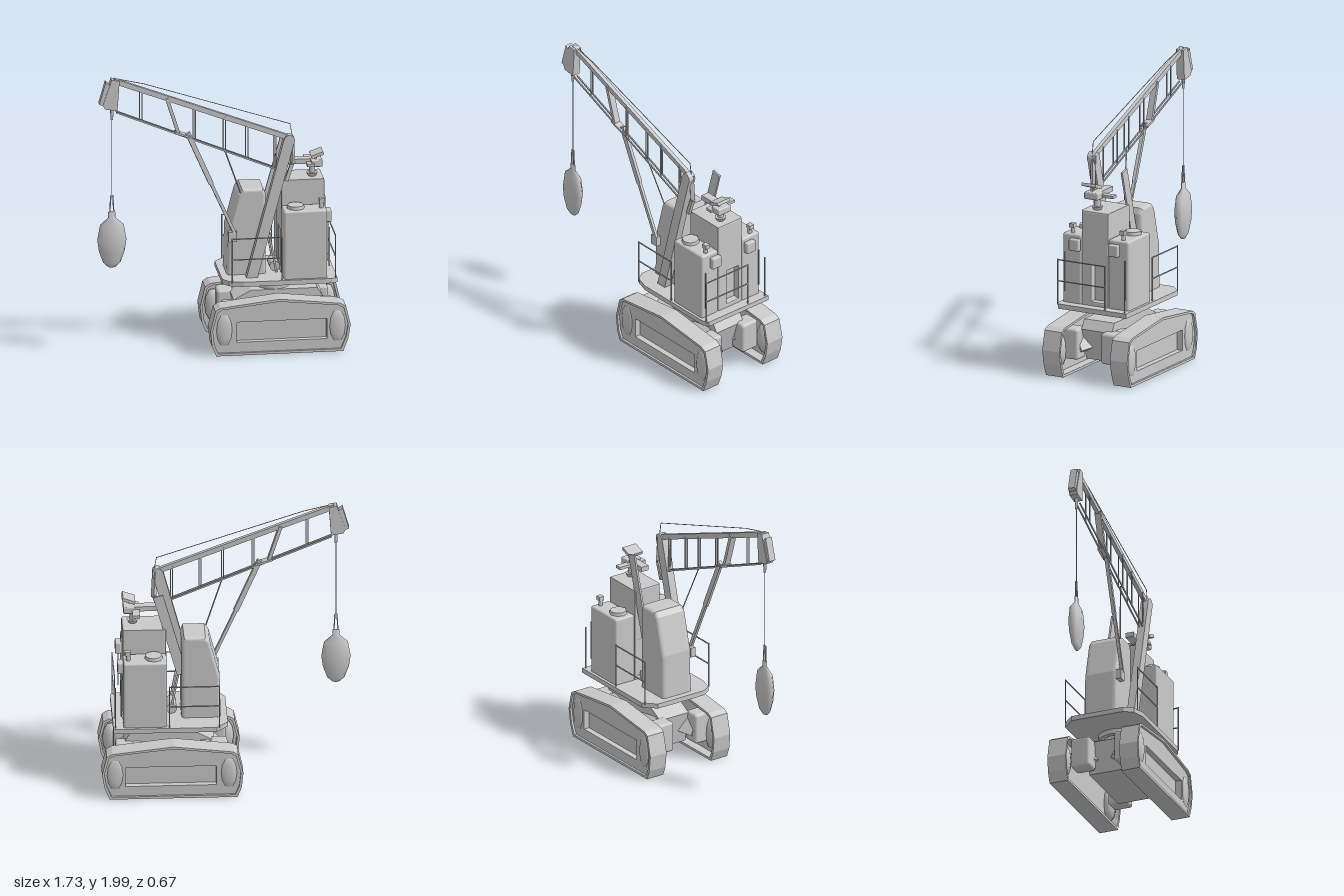
import * as THREE from 'three';
import { RoundedBoxGeometry } from 'three/addons/geometries/RoundedBoxGeometry.js';

const grey = new THREE.MeshStandardMaterial({ color: 0xcacaca });
grey.name = 'grey';
const V = (x, y, z) => new THREE.Vector3(x, y, z);

export function createModel() {
  const model = new THREE.Group();
  const add = (name, geometry, x = 0, y = 0, z = 0, parent = model) => {
    const mesh = new THREE.Mesh(geometry, grey);
    mesh.name = name;
    mesh.position.set(x, y, z);
    parent.add(mesh);
    return mesh;
  };
  // box given by its limits, optionally rounded
  const box = (name, x0, x1, y0, y1, z0, z1, r = 0) => {
    const s = [x1 - x0, y1 - y0, z1 - z0];
    const g = r ? new RoundedBoxGeometry(...s, 3, r) : new THREE.BoxGeometry(...s);
    return add(name, g, (x0 + x1) / 2, (y0 + y1) / 2, (z0 + z1) / 2);
  };
  // square bar between two points: w across in the xy plane, d deep
  const bar = (name, a, b, w, d = w) => {
    const m = add(name, new THREE.BoxGeometry(w, a.distanceTo(b), d));
    m.position.copy(a).lerp(b, 0.5);
    m.quaternion.setFromUnitVectors(V(0, 1, 0), b.clone().sub(a).normalize());
    return m;
  };
  const drum = (name, x, z, y0, y1, r0, r1 = r0, n = 24) =>
    add(name, new THREE.CylinderGeometry(r1, r0, y1 - y0, n), x, (y0 + y1) / 2, z);
  const shape = pts => new THREE.Shape(pts.map(p => new THREE.Vector2(...p)));
  const plate = (name, s, z0, z1, parent = model) =>
    add(name, new THREE.ExtrudeGeometry(s, { depth: z1 - z0, bevelEnabled: false }), 0, 0, z0, parent);
  // upright faceted body flattened in z
  const flatBody = (name, pts, n, x, y, z, depth, parent = model) => {
    const m = add(name, new THREE.LatheGeometry(pts.map(p => new THREE.Vector2(...p)), n), x, y, z, parent);
    m.scale.z = depth;
    return m;
  };

  // crawler tracks: belt, side frame with a long pocket, open inner side with oval wheels
  const outline = [[-0.07, 0.01], [0.81, 0.01], [0.845, 0.1], [0.862, 0.2], [0.83, 0.335], [0.79, 0.357],
    [0.37, 0.405], [-0.04, 0.357], [-0.075, 0.335], [-0.11, 0.19], [-0.098, 0.08]];
  const inset = outline.map(([x, y]) => [0.376 + (x - 0.376) * 0.965, 0.205 + (y - 0.205) * 0.91]);
  const wheel = [[0, -0.112], [0.03, -0.105], [0.052, -0.06], [0.06, 0], [0.052, 0.06], [0.03, 0.105], [0, 0.112]];
  for (const side of [1, -1]) {
    const track = new THREE.Group();
    track.name = side > 0 ? 'leftTrack' : 'rightTrack';
    const belt = shape(outline);
    belt.holes.push(shape(inset));
    plate('trackBelt', belt, -0.068, 0.068, track);
    const web = shape(inset);
    web.holes.push(shape([[0.075, 0.1], [0.7, 0.1], [0.7, 0.245], [0.075, 0.245]]));
    const frame = side * 0.03;
    plate('trackFrame', web, frame - 0.022, frame + 0.022, track);
    plate('trackInnerPanel', shape(inset), side * 0.004 - 0.006, side * 0.004 + 0.006, track);
    for (const x of [-0.012, 0.772]) {
      flatBody('trackWheel', wheel, 8, x, 0.19, side * 0.048, 0.32, track);
      flatBody('trackWheel', wheel, 8, x, 0.19, side * -0.02, 0.75, track);
    }
    track.position.z = side * 0.268;
    model.add(track);

    // drive housings and cross legs on the inner side
    for (const x of [0.05, 0.7]) {
      const z = side * 0.16;
      box('driveHousing', x - 0.06, x + 0.06, 0.13, 0.35, z - 0.045, z + 0.095, 0.02);
      bar('carbodyLeg', V(0.376 + (x - 0.376) * 0.3, 0.28, side * 0.04), V(x, 0.24, side * 0.17), 0.16, 0.1);
    }
  }

  // carbody and turntable
  plate('carbody', shape([[0.12, 0.115], [0.63, 0.115], [0.7, 0.34], [0.66, 0.405], [0.2, 0.405], [0.08, 0.34]]), -0.12, 0.12);
  drum('turntableNeck', 0.365, 0, 0.4, 0.455, 0.115);
  drum('turntableRing', 0.365, 0, 0.45, 0.49, 0.145);

  // deck
  const deck = new THREE.ExtrudeGeometry(shape([[-0.01, -0.2], [0.07, -0.28], [0.78, -0.28], [0.78, 0.26],
    [0.74, 0.28], [0.13, 0.28], [0.03, 0.25], [-0.01, 0.19]]), { depth: 0.034, bevelEnabled: false });
  add('deck', deck.rotateX(Math.PI / 2), 0, 0.52, 0);

  // cab with a slanted nose
  const cab = shape([[0.055, 0.52], [0.285, 0.52], [0.285, 1.09], [0.275, 1.115], [0.15, 1.115], [0.13, 1.09], [0.062, 0.83]]);
  add('cab', new THREE.ExtrudeGeometry(cab, { depth: 0.18, bevelThickness: 0.03, bevelSize: 0.02, bevelSegments: 4 }), 0, 0, -0.095);

  // engine tower with a recessed rear doorway
  const tower = new THREE.ExtrudeGeometry(shape([[-0.105, 0.52], [-0.045, 0.52], [-0.045, 0.82], [0.1, 0.82], [0.1, 0.52],
    [0.09, 1.18], [-0.105, 1.18]].filter(p => p[0] !== 0.1).concat([])),
    { depth: 0.28, bevelThickness: 0.01, bevelSize: 0.01, bevelSegments: 2 });
  tower.dispose();
  const doorway = shape([[-0.105, 0.52], [0.09, 0.52], [0.09, 1.18], [-0.105, 1.18]]);
  doorway.holes.push(shape([[-0.045, 0.54], [0.08, 0.54], [0.08, 0.82], [-0.045, 0.82]]));
  const shell = new THREE.ExtrudeGeometry(doorway, { depth: 0.28, bevelThickness: 0.01, bevelSize: 0.01, bevelSegments: 2 });
  add('engineTower', shell.rotateY(Math.PI / 2), 0.42, 0, 0);
  box('rearDoor', 0.415, 0.66, 0.52, 0.84, -0.09, 0.06);

  // side cabinets
  for (const [z0, z1, zc] of [[0.115, 0.262, 0.185], [-0.26, -0.1, -0.175]]) {
    const side = Math.sign(zc);
    box('sideCabinet', 0.41, 0.71, 0.51, 1.012, z0, z1, 0.015);
    drum('cabinetCap', 0.5, zc, 1.01, 1.035, 0.062, 0.058, 8);
    drum('exhaustPipe', 0.675, side * 0.2, 1.0, 1.055, 0.015, 0.015, 10);
    box('exhaustFlap', 0.66, 0.7, 1.05, 1.08, side * 0.2 - 0.018, side * 0.2 + 0.018);
    box('workLamp', 0.71, 0.75, 0.9, 0.985, side * 0.155 - 0.04, side * 0.155 + 0.04, 0.01);
    bar('cabinetHandle', V(0.725, 0.6, side * 0.24), V(0.725, 0.88, side * 0.24), 0.008);
  }

  // stack platform above the tower
  drum('stackFlange', 0.635, 0.03, 1.185, 1.215, 0.025, 0.04, 12);
  drum('stackPost', 0.635, 0.03, 1.2, 1.29, 0.022, 0.022, 12);
  box('platformBeam', 0.47, 0.69, 1.285, 1.32, 0.0, 0.06);
  box('platformCrossbar', 0.59, 0.64, 1.28, 1.3, -0.095, 0.12);
  box('stackHead', 0.62, 0.7, 1.27, 1.32, -0.01, 0.1, 0.008);
  bar('stackLid', V(0.62, 1.345, 0.06), V(0.705, 1.375, 0.06), 0.022, 0.11);
  bar('lidHinge', V(0.65, 1.3, 0.06), V(0.66, 1.355, 0.06), 0.015);

  // mast legs
  bar('mastLeg', V(0.195, 0.51, 0.165), V(0.455, 1.5, 0.165), 0.075, 0.055);
  const tip = add('mastTip', new THREE.CylinderGeometry(0.037, 0.037, 0.055, 16).rotateX(Math.PI / 2), 0.458, 1.5, 0.165);
  tip.scale.y = 1.1;
  bar('mastBackstay', V(0.475, 1.52, 0.155), V(0.485, 1.32, 0.15), 0.03, 0.025);
  bar('mastBrace', V(0.483, 1.33, 0.15), V(0.44, 1.2, 0.15), 0.025);
  bar('rearMastLeg', V(0.3, 0.84, -0.083), V(0.465, 1.44, -0.083), 0.07, 0.014);

  // boom lattice
  const z = 0.16;
  const topY = x => 1.975 - (x + 0.74) * 0.384;
  const lowY = x => 1.755 - (x + 0.74) * 0.415;
  bar('boomTopChord', V(-0.76, topY(-0.76), z), V(0.46, topY(0.46), z), 0.036, 0.028);
  for (const dz of [-0.013, 0.013]) {
    bar('boomLowerChord', V(-0.74, lowY(-0.74), z + dz), V(0.38, lowY(0.38), z + dz), 0.011, 0.008);
    for (const x of [-0.57, -0.2, 0.01, 0.165, 0.36])
      bar('boomPost', V(x + dz * 0.5, topY(x), z + dz), V(x + dz * 0.5, lowY(x), z + dz), 0.007);
  }
  bar('boomStrut', V(-0.39, 1.84, z), V(-0.31, 1.585, z), 0.024, 0.045);
  bar('boomBracket', V(-0.335, 1.59, z), V(-0.23, 1.555, z), 0.014, 0.055);

  // boom supports
  bar('supportArm', V(-0.245, 1.58, z), V(-0.08, 1.2, z - 0.01), 0.034, 0.024);
  bar('supportRod', V(-0.08, 1.2, z - 0.01), V(0.085, 0.83, z - 0.02), 0.022);
  bar('supportCable', V(0.01, 1.45, z), V(0.14, 1.08, 0.1), 0.007);
  box('supportFoot', 0.04, 0.1, 0.77, 0.84, 0.11, 0.15);

  // boom head
  plate('headSheave', shape([[-0.815, 1.98], [-0.86, 1.82], [-0.815, 1.8], [-0.77, 1.94]]), 0.135, 0.185);
  plate('boomHead', shape([[-0.775, 1.995], [-0.72, 1.985], [-0.735, 1.77], [-0.82, 1.785], [-0.835, 1.815]]), 0.13, 0.19);

  // ropes
  const ropes = [[[-0.72, 1.99], [-0.55, 1.95], [0.465, 1.615], [0.485, 1.5]], [[-0.77, 1.78], [-0.77, 1.15]]];
  for (const r of ropes)
    for (let i = 1; i < r.length; i++) bar('rope', V(...r[i - 1], z), V(...r[i], z), 0.004);
  drum('ropeSocket', -0.77, z, 1.7, 1.79, 0.009, 0.013, 10);

  // hanging ball and shackle
  flatBody('wreckingBall', [[0, 0.63], [0.025, 0.632], [0.06, 0.665], [0.09, 0.75], [0.101, 0.83], [0.082, 0.94],
    [0.025, 0.99], [0.025, 1.03], [0, 1.03]], 8, -0.77, 0, z, 0.42);
  for (const dx of [-0.014, 0.014])
    bar('shackle', V(-0.77 + dx, 1.02, z), V(-0.77 + dx * 0.5, 1.15, z), 0.008);

  // railings
  const rail = (a, b) => {
    for (const y of [0.68, 0.83]) bar('handrail', a.clone().setY(y), b.clone().setY(y), 0.007);
    for (const p of [a, b]) bar('railPost', p.clone().setY(0.51), p.clone().setY(0.835), 0.007);
  };
  for (const s of [1, -1]) rail(V(0.05, 0, s * 0.268), V(0.395, 0, s * 0.268));
  rail(V(0.765, 0, -0.105), V(0.765, 0, 0.27));
  bar('railPost', V(0.765, 0.51, -0.26), V(0.765, 0.83, -0.26), 0.007);

  // winch between cab and tower
  add('winchDrum', new THREE.CylinderGeometry(0.035, 0.035, 0.14, 16).rotateX(Math.PI / 2), 0.37, 0.56, 0.01);
  for (const s of [-0.05, 0.09]) bar('winchStay', V(0.38, 0.52, s), V(0.32, 0.85, s), 0.014);
  return model;
}
